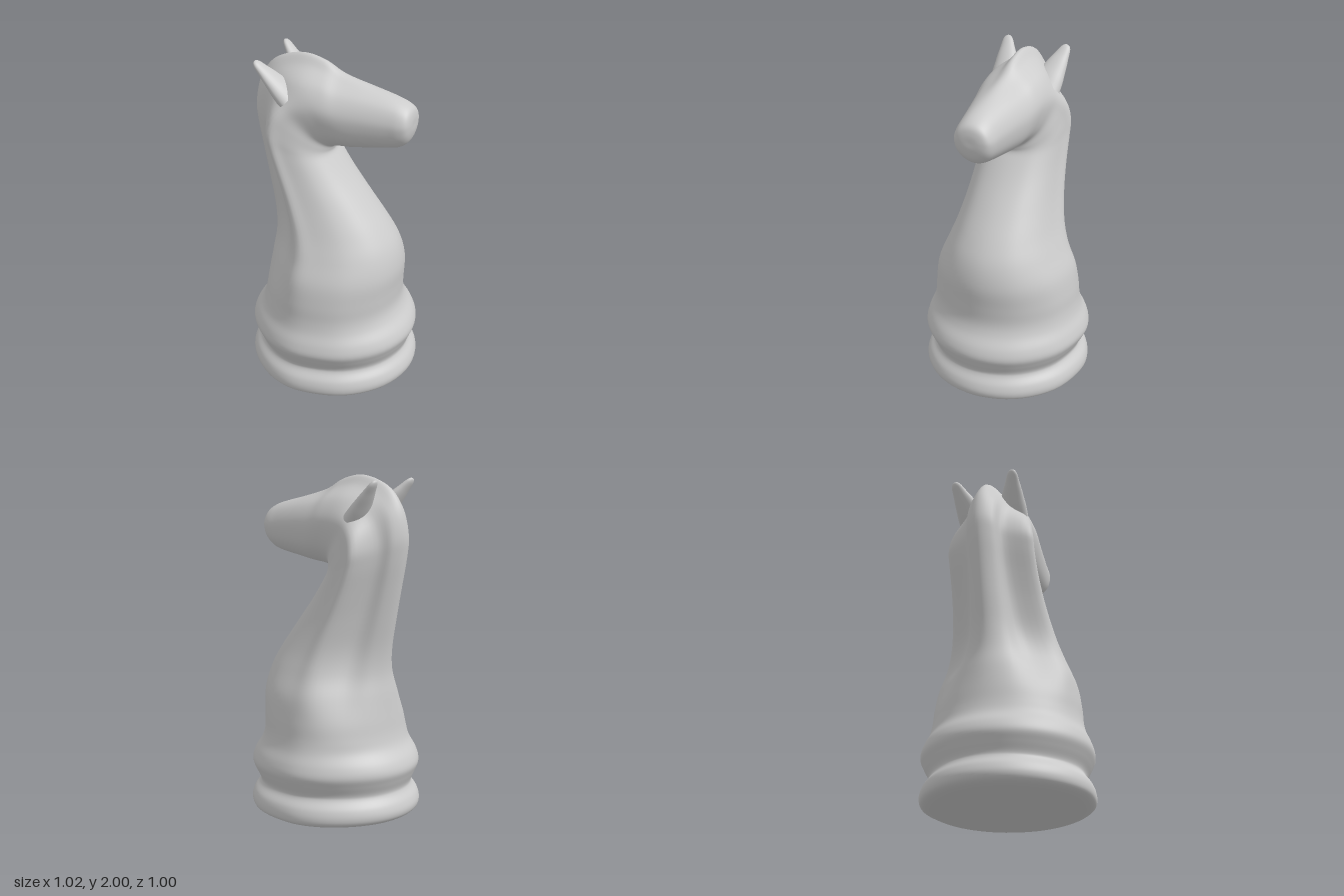
import * as THREE from 'three';

const material = new THREE.MeshStandardMaterial({ color: 0xcccccc, roughness: 0.8 });

// Round plinth rows: [half length, y, half width]
const plinth = [
  [0, 0, 0], [0.3, 0.008, 0.3], [0.43, 0.022, 0.425], [0.49, 0.045, 0.485], [0.508, 0.085, 0.498],
  [0.495, 0.135, 0.485], [0.465, 0.18, 0.45], [0.46, 0.21, 0.447], [0.482, 0.265, 0.475], [0.5, 0.32, 0.497],
  [0.482, 0.38, 0.485], [0.435, 0.45, 0.455], [0.413, 0.52, 0.44],
].map(([r, y, w]) => [r, y, -r, y, w, 0.05, 0]);

// Neck rows: [throat x, y, nape x, y, half width, mane amount]
const neck = [
  [0.415, 0.62, -0.4, 0.62, 0.432, 0.15],
  [0.421, 0.75, -0.385, 0.75, 0.41, 0.4],
  [0.392, 0.88, -0.37, 0.88, 0.358, 0.65],
  [0.325, 1.0, -0.38, 1.02, 0.315, 0.85],
  [0.22, 1.14, -0.413, 1.2, 0.283, 0.95],
  [0.11, 1.28, -0.447, 1.38, 0.266, 1],
  [0.03, 1.39, -0.478, 1.55, 0.261, 1],
  [0.0, 1.435, -0.487, 1.68, 0.26, 1],
].map((row) => [...row, 0]);

// Head rows, fanning around the chin: [jaw x, y, crest x, y, half width, mane amount, crest amount]
const head = [
  [0.0, 1.46, -0.452, 1.83, 0.242, 1, 0.2],
  [0.01, 1.475, -0.36, 1.945, 0.212, 1, 0.65],
  [0.035, 1.48, -0.2, 2.0, 0.198, 0.5, 1],
  [0.075, 1.487, -0.06, 1.978, 0.19, 0, 0.9],
  [0.14, 1.495, 0.05, 1.918, 0.177, 0, 0.5],
  [0.25, 1.515, 0.2, 1.872, 0.152, 0, 0.15],
  [0.36, 1.535, 0.35, 1.835, 0.128, 0, 0],
  [0.42, 1.555, 0.425, 1.81, 0.117, 0, 0],
  [0.46, 1.595, 0.465, 1.782, 0.097, 0, 0],
  [0.478, 1.65, 0.479, 1.74, 0.055, 0, 0],
  [0.48, 1.695, 0.48, 1.695, 0, 0, 0],
];

// Half outlines from throat to nape as [position along section, share of half width]
const round = [0, 30, 60, 90, 112, 135, 158, 180].map((deg) => {
  const a = THREE.MathUtils.degToRad(deg);
  return [(1 - Math.cos(a)) / 2, Math.sin(a)];
});
const maned = [[0, 0], [0.065, 0.48], [0.24, 0.81], [0.46, 0.96], [0.62, 1], [0.77, 0.47], [0.92, 0.3], [1, 0]];
const crested = [[0, 0], [0.06, 0.44], [0.2, 0.8], [0.4, 0.99], [0.57, 0.99], [0.75, 0.74], [0.89, 0.28], [1, 0]];

// Smooth value between rows
function spline(a, b, c, d, t) {
  const m0 = (c - a) / 2, m1 = (d - b) / 2;
  return b + m0 * t + (3 * (c - b) - 2 * m0 - m1) * t * t + (2 * (b - c) + m0 + m1) * t * t * t;
}

function sectionPoints([px, py, qx, qy, w, mane, crest], count) {
  const { lerp } = THREE.MathUtils;
  const half = round.map((point, i) => {
    const [along, share] = point.map((v, c) => lerp(lerp(v, maned[i][c], mane), crested[i][c], crest));
    return new THREE.Vector3(lerp(px, qx, along), lerp(py, qy, along), w * share);
  });
  const mirrored = half.slice(1, -1).reverse().map((p) => new THREE.Vector3(p.x, p.y, -p.z));
  const curve = new THREE.CatmullRomCurve3([...half, ...mirrored], true, 'catmullrom', 0.5);
  return Array.from({ length: count }, (_, j) => curve.getPoint(j / count));
}

function loft(rows, steps, around) {
  const positions = [], index = [];
  const last = rows.length - 1, total = last * steps;
  for (let i = 0; i <= total; i++) {
    const r = Math.min(Math.floor(i / steps), last - 1);
    const t = i / steps - r;
    const at = (n) => rows[THREE.MathUtils.clamp(n, 0, last)];
    const row = rows[0].map((_, c) => spline(at(r - 1)[c], at(r)[c], at(r + 1)[c], at(r + 2)[c], t));
    for (const p of sectionPoints(row, around)) positions.push(p.x, p.y, p.z);
    if (i === total) break;
    for (let j = 0; j < around; j++) {
      const a = i * around + j, b = i * around + ((j + 1) % around);
      index.push(a, a + around, b, b, a + around, b + around);
    }
  }
  const geometry = new THREE.BufferGeometry();
  geometry.setAttribute('position', new THREE.Float32BufferAttribute(positions, 3));
  geometry.setIndex(index);
  geometry.computeVertexNormals();
  return geometry;
}

// Flared, flattened ear with a rounded tip, leaning back and outwards
function createEar(side) {
  const profile = [[0.1, -0.06], [0.088, 0], [0.074, 0.05], [0.06, 0.1], [0.047, 0.14], [0.037, 0.175], [0.029, 0.195], [0.016, 0.21], [0, 0.215]];
  const curve = new THREE.SplineCurve(profile.map(([r, y]) => new THREE.Vector2(r, y)));
  const points = curve.getPoints(24).map((p) => new THREE.Vector2(Math.max(p.x, 0), p.y));
  const ear = new THREE.Mesh(new THREE.LatheGeometry(points, 28), material);
  ear.name = side > 0 ? 'leftEar' : 'rightEar';
  const direction = new THREE.Vector3(-0.135, 0.16, 0.05 * side).normalize();
  ear.quaternion.setFromUnitVectors(new THREE.Vector3(0, 1, 0), direction);
  ear.position.set(-0.268, 1.82, 0.138 * side);
  ear.scale.set(0.55, 1, 0.95);
  return ear;
}

export function createModel() {
  const model = new THREE.Group();
  model.name = 'horseChessPiece';

  // Plinth, neck, mane and head as one continuous skin
  const body = new THREE.Mesh(loft([...plinth, ...neck, ...head], 5, 70), material);
  body.name = 'plinthNeckAndHead';
  model.add(body);

  for (const side of [1, -1]) model.add(createEar(side));
  return model;
}
